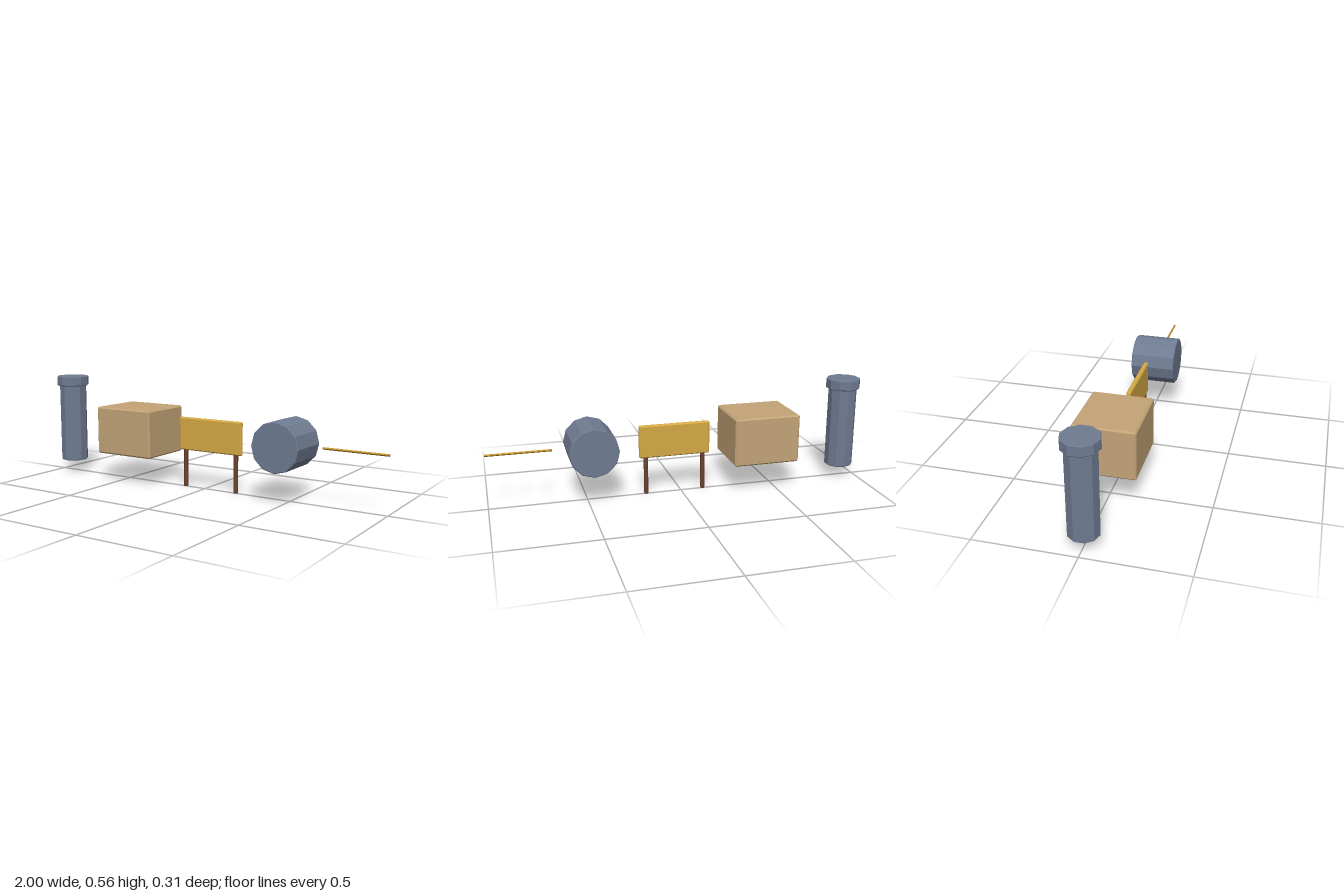
import * as THREE from 'three';
import { ConvexGeometry } from 'three/addons/geometries/ConvexGeometry.js';

const material = (color) => new THREE.MeshStandardMaterial({ color, flatShading: true });
const steel = material(0x6f7b92);
const crateTan = material(0xc3a477);
const boardYellow = material(0xd6aa45);
const postBrown = material(0x6b4330);
const rodGold = material(0xbf922f);

function addMesh(parent, name, geometry, mat, x, y, z) {
  const mesh = new THREE.Mesh(geometry, mat);
  mesh.name = name;
  mesh.position.set(x, y, z);
  parent.add(mesh);
  return mesh;
}

// Box with a flat chamfer on every edge
function chamferBox(w, h, d, c) {
  const points = [];
  for (const sx of [-1, 1]) for (const sy of [-1, 1]) for (const sz of [-1, 1]) {
    for (let axis = 0; axis < 3; axis++) {
      const inset = [c, c, c];
      inset[axis] = 0;
      points.push(new THREE.Vector3(
        sx * (w / 2 - inset[0]), sy * (h / 2 - inset[1]), sz * (d / 2 - inset[2])));
    }
  }
  return new ConvexGeometry(points);
}

// Faceted prism along y, centred, with chamfered rims
function chamferPrism(radius, length, sides, c) {
  const h = length / 2;
  const profile = [
    [0, -h], [radius - c, -h], [radius, c - h], [radius, h - c], [radius - c, h], [0, h],
  ].map(([r, y]) => new THREE.Vector2(r, y));
  return new THREE.LatheGeometry(profile, sides);
}

export function createModel() {
  const model = new THREE.Group();
  model.name = 'propSet';

  // Standing pipe with a wider collar
  const pipe = new THREE.Group();
  pipe.name = 'pipe';
  pipe.position.x = -0.914;
  addMesh(pipe, 'pipeBody', chamferPrism(0.076, 0.44, 10, 0.004), steel, 0, 0.286, 0);
  addMesh(pipe, 'pipeCollar', chamferPrism(0.0905, 0.055, 10, 0.004), steel, 0, 0.5275, 0);
  model.add(pipe);

  // Crate
  addMesh(model, 'crate', chamferBox(0.352, 0.255, 0.308, 0.008), crateTan, -0.426, 0.2835, 0);

  // Sign board on two posts
  const sign = new THREE.Group();
  sign.name = 'sign';
  sign.position.x = 0.035;
  addMesh(sign, 'signBoard', chamferBox(0.378, 0.174, 0.025, 0.006), boardYellow, 0, 0.286, 0);
  for (const side of [-1, 1]) {
    addMesh(sign, side < 0 ? 'rightPost' : 'leftPost',
      chamferPrism(0.012, 0.205, 6, 0.003), postBrown, side * 0.154, 0.1025, 0);
  }
  model.add(sign);

  // Barrel lying along z
  const barrel = addMesh(model, 'barrel', chamferPrism(0.1275, 0.238, 12, 0.004),
    steel, 0.472, 0.2835, 0.004);
  barrel.rotation.x = Math.PI / 2;

  // Thin four-sided rod along x
  const rod = addMesh(model, 'rod', chamferPrism(0.006, 0.332, 4, 0.002),
    rodGold, 0.834, 0.2835, 0);
  rod.rotation.z = Math.PI / 2;

  return model;
}
